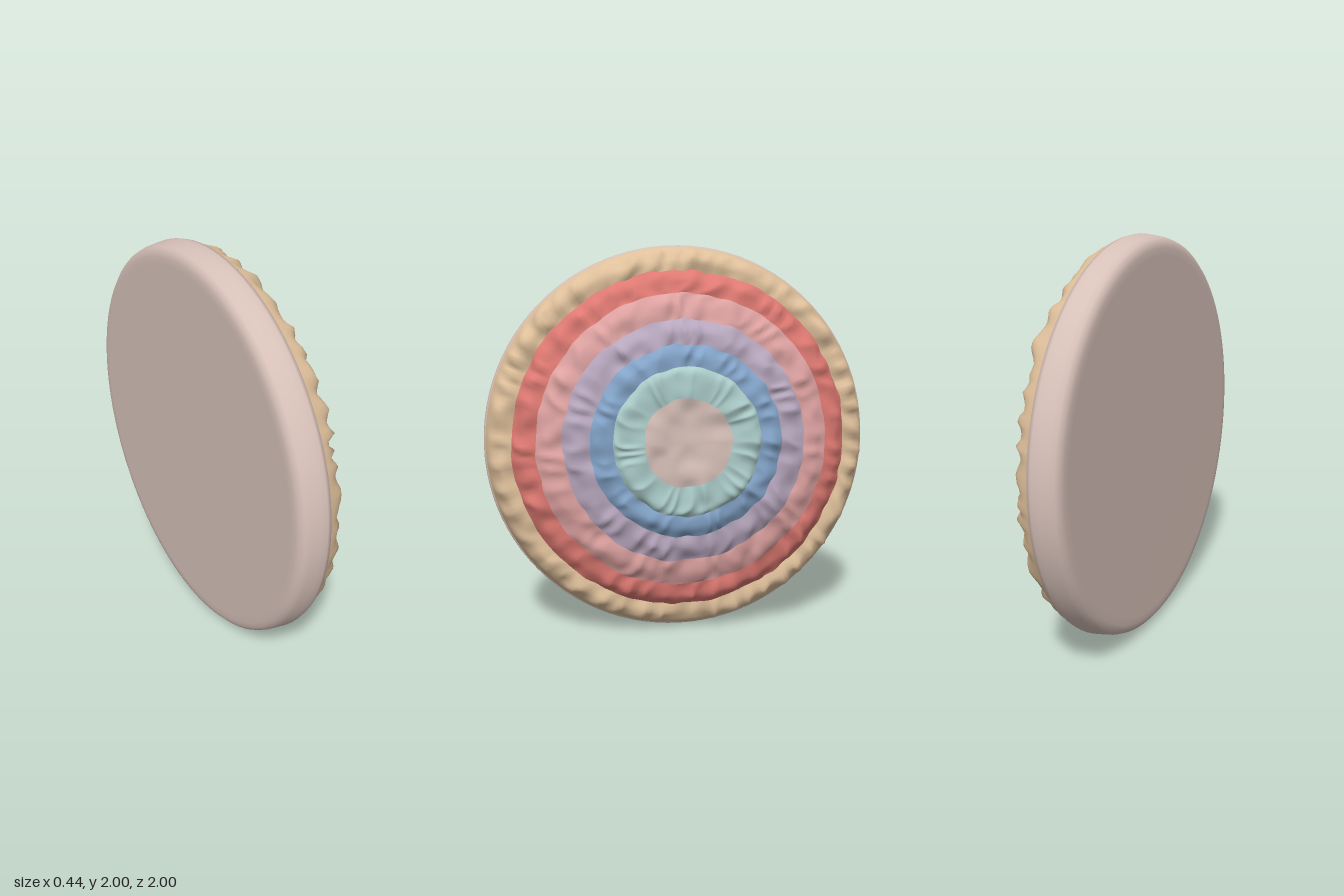
import * as THREE from 'three';

const mat = (name, color) => {
  const m = new THREE.MeshStandardMaterial({ color });
  m.name = name;
  return m;
};

// Each ring: name, colour, number of pleats, pleat depth, profile of [radius, x] from inner to outer edge
const RINGS = [
  ['centrePad', 'shell', 9, 0, [[0, 0.19], [0.12, 0.195], [0.22, 0.194]]],
  ['tealRing', 'teal', 23, 0.01, [[0.22, 0.194], [0.3, 0.202], [0.345, 0.198], [0.37, 0.18]]],
  ['blueRing', 'blue', 27, 0.01, [[0.37, 0.18], [0.43, 0.179], [0.48, 0.152]]],
  ['lavenderRing', 'lavender', 31, 0.011, [[0.48, 0.152], [0.55, 0.145], [0.61, 0.116]]],
  ['pinkRing', 'pink', 35, 0.011, [[0.61, 0.116], [0.68, 0.106], [0.74, 0.077]]],
  ['redRing', 'red', 41, 0.015, [[0.74, 0.077], [0.81, 0.06], [0.86, 0.012]]],
  ['tanRing', 'tan', 51, 0.018, [[0.86, 0.012], [0.915, 0.017], [0.965, -0.022], [0.993, -0.09]]],
];

// Seeded lattice noise in the plane of the disc, about -1..1
const hash = (i, j) => {
  const s = Math.sin(i * 127.1 + j * 311.7) * 43758.5453;
  return (s - Math.floor(s)) * 2 - 1;
};
const smooth = (t) => t * t * (3 - 2 * t);
function noise(u, v) {
  const i = Math.floor(u), j = Math.floor(v), s = smooth(u - i), t = smooth(v - j);
  const a = THREE.MathUtils.lerp(hash(i, j), hash(i + 1, j), s);
  const b = THREE.MathUtils.lerp(hash(i, j + 1), hash(i + 1, j + 1), s);
  return THREE.MathUtils.lerp(a, b, t);
}

// A gathered cloth ring: its profile swept round the x axis with uneven pleats
function ringGeometry(profile, pleats, depth) {
  const SEG = 240, ROWS = 10;
  const curve = new THREE.SplineCurve(profile.map(([r, x]) => new THREE.Vector2(r, x)));
  const pos = [], index = [];
  for (let i = 0; i <= ROWS; i++) {
    const v = i / ROWS, p = curve.getPoint(v), r0 = p.x;
    const fade = Math.min(1, (0.993 - r0) / 0.04);
    for (let j = 0; j < SEG; j++) {
      const a = (j / SEG) * Math.PI * 2, c = Math.cos(a), s = Math.sin(a);
      const field = (scale, offset) => noise(r0 * c * scale + offset, r0 * s * scale + offset);
      // pleats of uneven width, slant and depth
      const phase = pleats * a + 1.6 * Math.sin(5 * a + pleats) + 1.3 * Math.sin(11 * a)
        + r0 * 9 + 2 * field(10, 70);
      const strength = 0.7 + 0.5 * field(7, 20);
      const fold = (1 - 1.6 * Math.abs(Math.sin(phase / 2))) * strength * Math.sin(Math.PI * v);
      const lift = fade * (depth * fold + 0.012 * field(13, 40));
      const r = r0 + fade * Math.min(1, r0 / 0.1) * (0.35 * depth * fold + 0.007 * field(18, 90));
      const cy = 1 + Math.min(0.025, (1 - r0) * 0.05);
      pos.push(p.y + lift, cy + r * c, r * s);
      if (i < ROWS) {
        const k = i * SEG + j, k1 = i * SEG + ((j + 1) % SEG);
        index.push(k, k + SEG, k1, k1, k + SEG, k1 + SEG);
      }
    }
  }
  const g = new THREE.BufferGeometry();
  g.setAttribute('position', new THREE.Float32BufferAttribute(pos, 3));
  g.setIndex(index);
  g.computeVertexNormals();
  return g;
}

export function createModel() {
  const model = new THREE.Group();
  model.name = 'ringedDisc';
  const mats = {
    shell: mat('shell beige', 0xd6c0b8),
    teal: mat('pale teal', 0xaccdca),
    blue: mat('dusty blue', 0x84a5ca),
    lavender: mat('lavender', 0xb9a8bf),
    pink: mat('pink', 0xe0a4a3),
    red: mat('coral red', 0xde7972),
    tan: mat('tan', 0xdfc09b),
  };

  // Rounded backing disc
  const profile = [[0, -0.222], [0.9, -0.222], [0.935, -0.221], [0.96, -0.215], [0.978, -0.2],
    [0.988, -0.175], [0.996, -0.13], [1, -0.1], [0.995, -0.08], [0.97, -0.07], [0.85, -0.06]];
  const base = new THREE.LatheGeometry(profile.map(([r, x]) => new THREE.Vector2(r, x)), 96);
  base.rotateZ(-Math.PI / 2).translate(0, 1, 0);
  const backing = new THREE.Mesh(base, mats.shell);
  backing.name = 'backingDisc';
  model.add(backing);

  // Coloured gathered rings on the +x side
  for (const [name, colour, pleats, depth, points] of RINGS) {
    const ring = new THREE.Mesh(ringGeometry(points, pleats, depth), mats[colour]);
    ring.name = name;
    model.add(ring);
  }
  return model;
}
